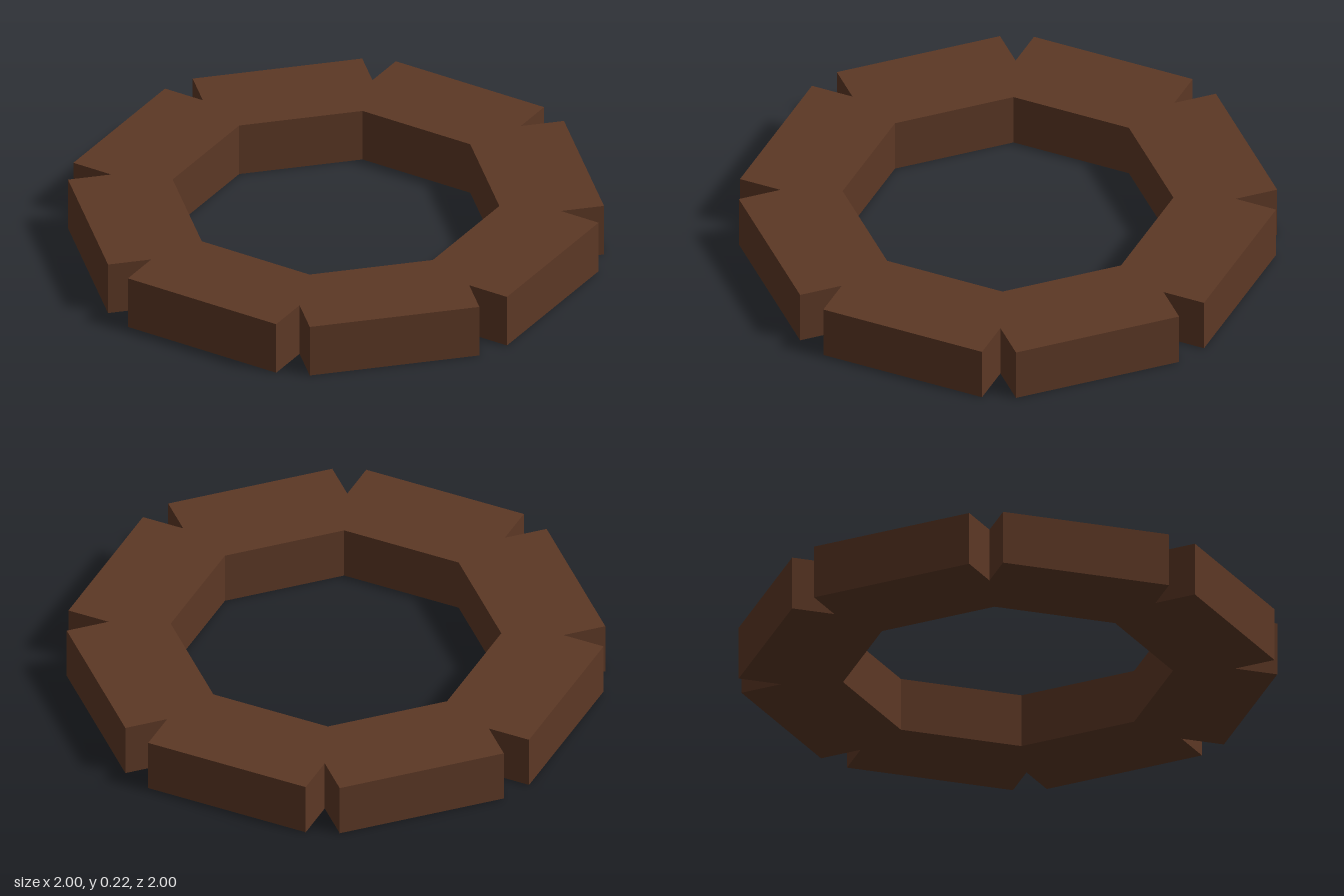
import * as THREE from 'three';

const SIDES = 8;
const INNER = 0.6;       // distance from centre to inner faces
const OUTER = 1.0;       // distance from centre to outer faces
const HALF_WIDTH = 0.342; // half the length of each outer block face
const HEIGHT = 0.22;

export function createModel() {
  const group = new THREE.Group();
  group.name = 'notchedOctagonRing';

  const wood = new THREE.MeshStandardMaterial({ color: 0x5c3825 });
  wood.name = 'dark brown wood';

  const step = (Math.PI * 2) / SIDES;
  const slope = Math.tan(step / 2);
  const origin = new THREE.Vector2();
  const outline = [];
  const opening = [];

  // Eight blocks, with a V notch where neighbouring block ends meet
  for (let i = 0; i < SIDES; i++) {
    const place = (x, y) => new THREE.Vector2(x, y).rotateAround(origin, i * step);
    outline.push(
      place(OUTER, -HALF_WIDTH),
      place(OUTER, HALF_WIDTH),
      place(HALF_WIDTH / slope, HALF_WIDTH)
    );
    opening.push(place(INNER, INNER * slope));
  }

  // Ring with an octagonal opening, laid flat on the ground
  const shape = new THREE.Shape(outline);
  shape.holes.push(new THREE.Path(opening.reverse()));
  const geometry = new THREE.ExtrudeGeometry(shape, { depth: HEIGHT, bevelEnabled: false });
  geometry.rotateX(-Math.PI / 2);

  const ring = new THREE.Mesh(geometry, wood);
  ring.name = 'ring';
  group.add(ring);
  return group;
}
